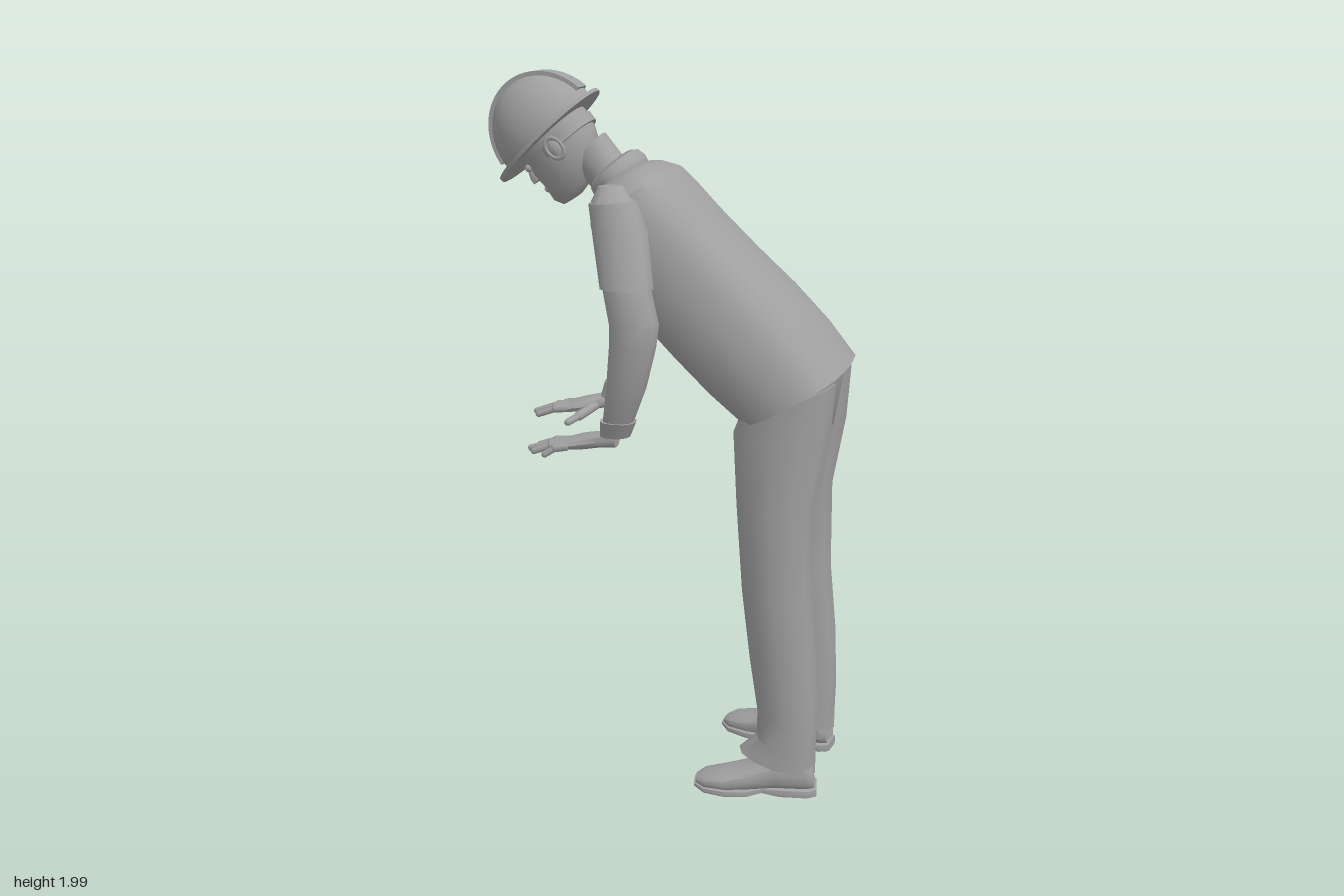
import * as THREE from 'three';
import { toCreasedNormals } from 'three/addons/utils/BufferGeometryUtils.js';

const grey = new THREE.MeshStandardMaterial({ color: 0xa0a0a0 });
grey.name = 'grey';

function add(parent, name, geometry, x = 0, y = 0, z = 0) {
  const mesh = new THREE.Mesh(geometry, grey);
  mesh.name = name;
  mesh.position.set(x, y, z);
  parent.add(mesh);
  return mesh;
}

// Closed skin through oval rings. Row: [frontX, frontY, backX, backY, centreZ, halfWidth]
function loft(rows, sides = 16, power = 2.2) {
  const pos = [], index = [], n = sides;
  const bend = (v) => Math.sign(v) * Math.abs(v) ** (2 / power);
  for (const [ax, ay, bx, by, z, w] of rows) {
    for (let j = 0; j < n; j++) {
      const a = (j / n) * Math.PI * 2, c = bend(Math.cos(a)) / 2, s = bend(Math.sin(a));
      pos.push((ax + bx) / 2 + c * (bx - ax), (ay + by) / 2 + c * (by - ay), z + s * w);
    }
  }
  const last = rows.length - 1;
  for (const r of [rows[0], rows[last]]) pos.push((r[0] + r[2]) / 2, (r[1] + r[3]) / 2, r[4]);
  for (let j = 0; j < n; j++) {
    const k = (j + 1) % n;
    for (let i = 0; i < last; i++) {
      const a = i * n + j, b = i * n + k;
      index.push(a, a + n, b, b, a + n, b + n);
    }
    index.push(n * rows.length, j, k, n * rows.length + 1, last * n + k, last * n + j);
  }
  const g = new THREE.BufferGeometry();
  g.setAttribute('position', new THREE.Float32BufferAttribute(pos, 3));
  g.setIndex(index);
  return toCreasedNormals(g, 0.65);
}

// Rounded rod between two points
function rod(parent, name, from, to, r) {
  const a = new THREE.Vector3(...from), b = new THREE.Vector3(...to);
  const dir = b.clone().sub(a);
  const m = add(parent, name, new THREE.CapsuleGeometry(r, dir.length(), 4, 8));
  m.position.copy(a).lerp(b, 0.5);
  m.quaternion.setFromUnitVectors(new THREE.Vector3(0, 1, 0), dir.normalize());
}

function makeHead() {
  const head = new THREE.Group();
  head.name = 'head';
  add(head, 'face', loft([
    [-0.1, -0.135, -0.04, -0.145, 0, 0.03], [-0.112, -0.11, 0.02, -0.135, 0, 0.058],
    [-0.105, -0.07, 0.085, -0.085, 0, 0.08], [-0.106, -0.03, 0.108, -0.04, 0, 0.088],
    [-0.1, 0, 0.118, 0, 0, 0.093], [-0.11, 0.03, 0.12, 0.03, 0, 0.096], [-0.1, 0.08, 0.11, 0.08, 0, 0.09],
  ], 20, 2.1));
  add(head, 'nose', loft([
    [-0.13, -0.038, -0.09, -0.04, 0, 0.018], [-0.128, -0.022, -0.09, -0.025, 0, 0.014],
    [-0.108, 0.02, -0.09, 0.02, 0, 0.008],
  ], 8, 2));
  add(head, 'lips', new THREE.SphereGeometry(1, 10, 8), -0.104, -0.075, 0).scale.set(0.01, 0.011, 0.026);
  for (const s of [1, -1]) {
    add(head, 'ear', new THREE.SphereGeometry(1, 12, 8), 0.015, -0.025, s * 0.093).scale.set(0.022, 0.034, 0.012);
    add(head, 'earRim', new THREE.TorusGeometry(0.022, 0.005, 6, 14), 0.017, -0.022, s * 0.101).scale.y = 1.4;
    add(head, 'eye', new THREE.SphereGeometry(0.011, 8, 6), -0.098, -0.002, s * 0.036);
  }

  // Hard hat: dome, raised ridge, brim and rear band
  const dome = add(head, 'hatDome', new THREE.SphereGeometry(1, 32, 12, 0, Math.PI * 2, 0, Math.PI / 2), 0.003, 0.032, 0);
  dome.scale.set(0.153, 0.168, 0.127);
  const arc = new THREE.Shape();
  arc.absellipse(0, 0, 0.157, 0.174, 0.15, Math.PI - 0.15, false);
  arc.absellipse(0, 0, 0.14, 0.155, Math.PI - 0.15, 0.15, true);
  add(head, 'hatRidge', toCreasedNormals(new THREE.ExtrudeGeometry(arc, { depth: 0.07, bevelEnabled: false, curveSegments: 24 }), 0.5), 0.003, 0.032, -0.035);
  const brim = new THREE.Shape();
  brim.absellipse(0, 0, 0.185, 0.133, 0, Math.PI * 2);
  const brimGeo = new THREE.ExtrudeGeometry(brim, { depth: 0.01, bevelEnabled: false, curveSegments: 20 });
  brimGeo.rotateX(-Math.PI / 2);
  add(head, 'hatBrim', toCreasedNormals(brimGeo, 0.5), -0.003, 0.022, 0);
  const band = new THREE.CylinderGeometry(0.1, 0.098, 0.028, 24);
  add(head, 'hatBand', toCreasedNormals(band, 0.5), 0.024, -0.012, 0);

  head.position.set(-0.33, 1.8, -0.03);
  head.rotation.z = 0.75;
  return head;
}

function makeHand(name, mirror) {
  const hand = new THREE.Group();
  hand.name = name;
  add(hand, 'palm', loft([
    [0.02, -0.02, 0.02, 0.03, 0.005, 0.027], [-0.03, -0.025, -0.03, 0.018, 0, 0.03],
    [-0.08, -0.033, -0.08, 0.006, -0.005, 0.046], [-0.125, -0.035, -0.125, -0.008, 0, 0.046],
  ], 12, 2.4));
  // Knuckle z, tip x, tip z
  const fingers = [[-0.034, -0.213, -0.033], [-0.01, -0.225, 0.002], [0.015, -0.208, 0.029], [0.036, -0.17, 0.05]];
  for (const [z, tx, tz] of fingers) {
    rod(hand, 'finger', [-0.115, -0.021, z], [(tx - 0.115) / 2, -0.025, (z + tz) / 2], 0.0115);
    rod(hand, 'fingertip', [(tx - 0.115) / 2, -0.025, (z + tz) / 2], [tx, -0.042, tz], 0.0095);
  }
  rod(hand, 'thumb', [-0.045, -0.012, -0.025], [-0.085, -0.03, -0.085], 0.014);
  rod(hand, 'thumbTip', [-0.085, -0.03, -0.085], [-0.11, -0.038, -0.125], 0.0105);
  hand.scale.z = mirror;
  return hand;
}

function makeShoe(name, side, x, z) {
  const shoe = new THREE.Group();
  shoe.name = name;
  // Rows run from heel to toe, bottom edge first
  add(shoe, 'upper', loft([
    [0.055, 0.015, 0.045, 0.1, 0, 0.035], [0.03, 0.015, 0.03, 0.12, 0, 0.05], [-0.06, 0.015, -0.06, 0.12, 0, 0.052],
    [-0.13, 0.012, -0.13, 0.085, 0.002, 0.055], [-0.2, 0.01, -0.2, 0.062, 0.004, 0.058],
    [-0.26, 0.012, -0.26, 0.05, 0.003, 0.046], [-0.285, 0.018, -0.285, 0.036, 0.002, 0.022],
  ], 16, 2.6));
  add(shoe, 'sole', loft([
    [-0.09, 0.01, -0.09, 0.026, 0, 0.045], [-0.14, 0, -0.14, 0.022, 0.002, 0.058], [-0.2, 0, -0.2, 0.022, 0.004, 0.062],
    [-0.26, 0.004, -0.26, 0.022, 0.003, 0.05], [-0.29, 0.012, -0.29, 0.024, 0.002, 0.024],
  ], 16, 5));
  add(shoe, 'heel', loft([
    [0.06, 0, 0.06, 0.028, 0, 0.032], [0.035, 0, 0.035, 0.028, 0, 0.05], [-0.045, 0, -0.045, 0.028, 0, 0.05],
    [-0.1, 0.01, -0.1, 0.026, 0, 0.046],
  ], 16, 6));
  shoe.scale.z = side;
  shoe.rotation.y = side * 0.16;
  shoe.position.set(x, 0, z);
  return shoe;
}

export function createModel() {
  const person = new THREE.Group();
  person.name = 'bendingWorker';
  person.add(makeHead());
  add(person, 'neck', loft([
    [-0.19, 1.64, -0.09, 1.73, -0.03, 0.075], [-0.23, 1.685, -0.15, 1.775, -0.03, 0.06],
    [-0.28, 1.73, -0.195, 1.83, -0.03, 0.06],
  ]));

  // Vest with a flared hem, collar and front placket
  add(person, 'vest', loft([
    [0.22, 1.07, 0.5, 1.235, -0.03, 0.235], [0.12, 1.15, 0.425, 1.33, -0.03, 0.235],
    [0.02, 1.24, 0.33, 1.43, -0.03, 0.22], [-0.08, 1.34, 0.22, 1.53, -0.03, 0.21],
    [-0.15, 1.43, 0.11, 1.635, -0.03, 0.21], [-0.19, 1.52, 0.045, 1.7, -0.03, 0.222],
    [-0.205, 1.59, 0, 1.74, -0.03, 0.215], [-0.21, 1.65, -0.05, 1.755, -0.03, 0.17], [-0.205, 1.68, -0.09, 1.755, -0.03, 0.1],
  ], 20, 2.7));
  const collar = add(person, 'collar', new THREE.TorusGeometry(0.08, 0.022, 8, 20).rotateX(Math.PI / 2), -0.15, 1.715, -0.03);
  collar.rotation.z = 0.75;
  collar.scale.set(0.85, 1.5, 1.1);

  // Sleeves from cuff to shoulder
  const left = [
    [-0.13, 1.055, -0.06, 1.055, 0.22, 0.03], [-0.125, 1.1, -0.04, 1.1, 0.23, 0.038], [-0.11, 1.2, 0.0, 1.2, 0.245, 0.045],
    [-0.1, 1.31, 0.028, 1.31, 0.25, 0.05], [-0.1, 1.37, 0.035, 1.37, 0.248, 0.052], [-0.12, 1.46, 0.01, 1.46, 0.235, 0.054],
    [-0.15, 1.6, -0.015, 1.6, 0.2, 0.055], [-0.165, 1.67, -0.05, 1.68, 0.18, 0.05], [-0.155, 1.71, -0.09, 1.715, 0.155, 0.03],
  ];
  const right = [
    [-0.25, 1.055, -0.18, 1.055, -0.17, 0.03], [-0.24, 1.1, -0.16, 1.1, -0.18, 0.038], [-0.21, 1.2, -0.11, 1.2, -0.2, 0.045],
    [-0.18, 1.31, -0.06, 1.31, -0.215, 0.05], [-0.17, 1.37, -0.045, 1.37, -0.22, 0.05], [-0.18, 1.46, -0.04, 1.46, -0.23, 0.052],
    [-0.17, 1.6, -0.03, 1.6, -0.24, 0.055], [-0.165, 1.67, -0.05, 1.68, -0.225, 0.05], [-0.155, 1.71, -0.09, 1.715, -0.2, 0.03],
  ];
  for (const [name, rows] of [['left', left], ['right', right]]) {
    add(person, name + 'Sleeve', loft(rows, 12));
    const widen = ([a, b, c, d, z, w]) => [a - 0.007, b, c + 0.007, d, z, w + 0.007];
    add(person, name + 'Cuff', loft(rows.slice(0, 2).map(widen), 12));
    add(person, name + 'ShortSleeve', loft(rows.slice(5, 8).map(widen), 12));
  }
  const leftHand = makeHand('leftHand', 1);
  leftHand.position.set(-0.11, 1.043, 0.215);
  const rightHand = makeHand('rightHand', -1);
  rightHand.position.set(-0.225, 1.043, -0.172);
  rightHand.rotation.y = 0.15;
  person.add(leftHand, rightHand);

  // Trousers: seat and two straight legs
  add(person, 'seat', loft([
    [0.27, 0.99, 0.4, 0.99, -0.03, 0.12], [0.22, 1.06, 0.455, 1.06, -0.03, 0.19], [0.23, 1.12, 0.48, 1.22, -0.03, 0.215],
  ]));
  const legs = { left: [1, 0, [0.11, 0.11, 0.11, 0.11, 0.11, 0.105, 0.088, 0.085]],
    right: [-1, 0.008, [-0.18, -0.18, -0.178, -0.17, -0.16, -0.152, -0.142, -0.14]] };
  const shape = [
    [0.235, 0.12, 0.455, 0.065, 0.07], [0.285, 0.17, 0.455, 0.13, 0.068], [0.285, 0.24, 0.457, 0.22, 0.068],
    [0.26, 0.4, 0.45, 0.4, 0.075], [0.235, 0.6, 0.432, 0.6, 0.083], [0.215, 0.85, 0.43, 0.85, 0.09],
    [0.2, 1.05, 0.465, 1.05, 0.105], [0.225, 1.12, 0.475, 1.2, 0.105],
  ];
  for (const [name, [side, dx, zs]] of Object.entries(legs)) {
    add(person, name + 'Leg', loft(shape.map(([a, b, c, d, w], i) => [a + dx, b, c + dx, d, zs[i], w]), 12, 2.1));
    person.add(makeShoe(name + 'Shoe', side, 0.4, zs[0]));
  }
  return person;
}
